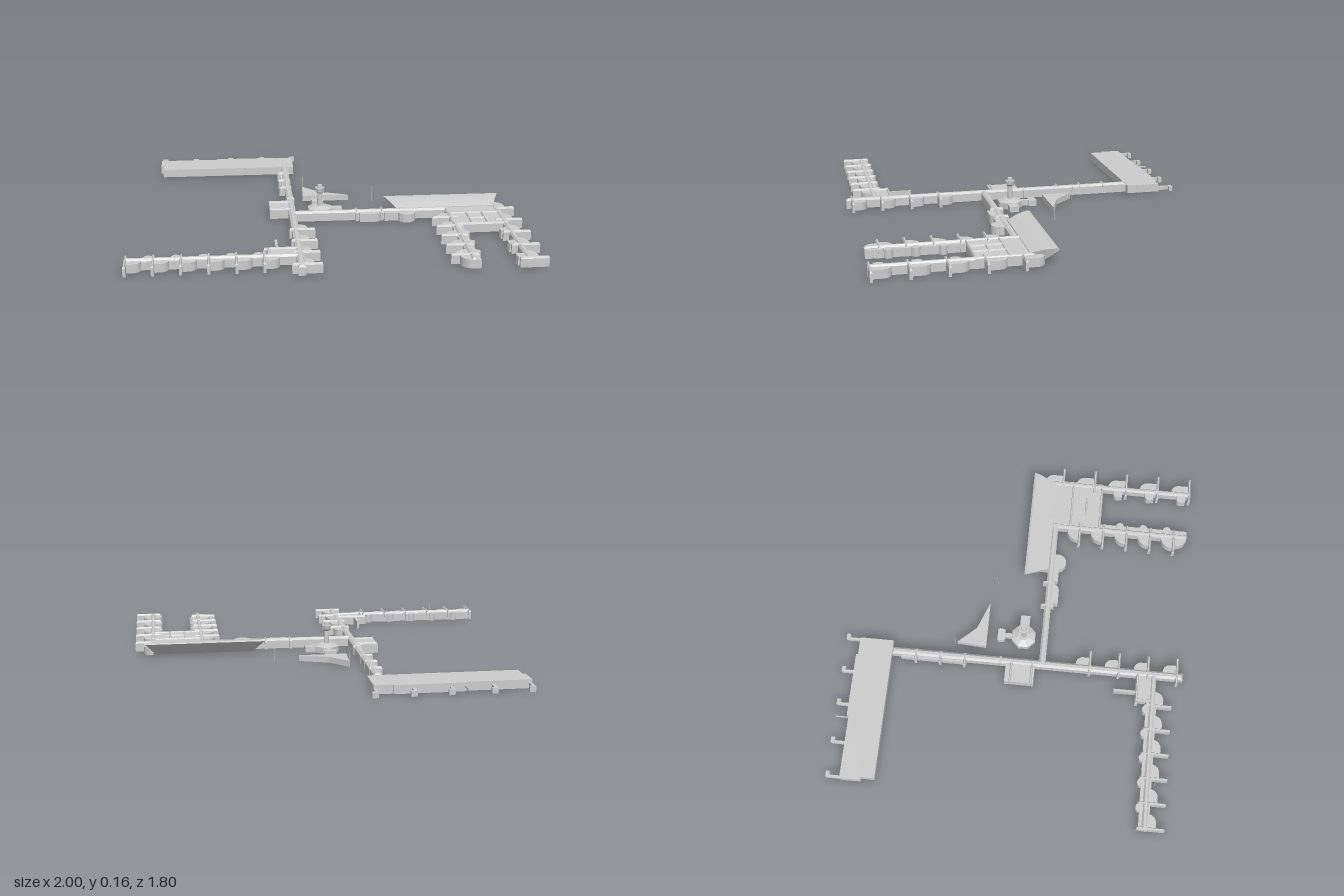
import * as THREE from 'three';

const mat = new THREE.MeshStandardMaterial({ color: 0xcccccc, flatShading: true, side: THREE.DoubleSide });

export function createModel() {
  const root = new THREE.Group();
  const group = (name) => {
    const g = new THREE.Group();
    g.name = name;
    root.add(g);
    return g;
  };
  const add = (parent, name, geo) => {
    const m = new THREE.Mesh(geo, mat);
    m.name = name;
    parent.add(m);
    return m;
  };
  // Plan outline of [x, z] points raised from y0 to y1
  const slab = (parent, name, pts, y1, y0 = 0) => {
    const shape = new THREE.Shape(pts.map(([x, z]) => new THREE.Vector2(x, -z)));
    const geo = new THREE.ExtrudeGeometry(shape, { depth: y1 - y0, bevelEnabled: false });
    geo.rotateX(-Math.PI / 2).translate(0, y0, 0);
    return add(parent, name, geo);
  };
  const box = (parent, name, x0, x1, z0, z1, y1, y0 = 0) => add(parent, name,
    new THREE.BoxGeometry(x1 - x0, y1 - y0, z1 - z0).translate((x0 + x1) / 2, (y0 + y1) / 2, (z0 + z1) / 2));
  // Box with a narrow raised roof whose sides slope inward
  const ridged = (parent, name, x0, x1, z0, z1, h = 0.053) => {
    box(parent, name, x0, x1, z0, z1, h - 0.01);
    const inset = Math.min(x1 - x0, z1 - z0) * 0.3;
    const roof = new THREE.BoxGeometry(x1 - x0, 0.01, z1 - z0);
    const p = roof.attributes.position;
    for (let i = 0; i < p.count; i++) {
      if (p.getY(i) < 0) continue;
      p.setX(i, p.getX(i) - Math.sign(p.getX(i)) * inset);
      p.setZ(i, p.getZ(i) - Math.sign(p.getZ(i)) * inset);
    }
    roof.translate((x0 + x1) / 2, h - 0.005, (z0 + z1) / 2);
    add(parent, name + 'Roof', roof);
  };
  // Room with one rounded outer corner, growing from (x, z) by (dx, dz)
  const lobe = (parent, x, z, dx, dz, h = 0.044) => {
    const r = Math.min(Math.abs(dx), Math.abs(dz)) * 0.85;
    const sx = Math.sign(dx), sz = Math.sign(dz);
    const pts = [[x, z], [x + dx, z]];
    for (let i = 0; i <= 6; i++) {
      const a = (i / 6) * Math.PI / 2;
      pts.push([x + dx - sx * r * (1 - Math.cos(a)), z + dz - sz * r * (1 - Math.sin(a))]);
    }
    pts.push([x, z + dz]);
    slab(parent, 'roundedRoom', pts, h);
  };
  const bump = (parent, x, z, r = 0.022) =>
    add(parent, 'roundBay', new THREE.CylinderGeometry(r, r, 0.044, 14).translate(x, 0.022, z));
  const gateX = (parent, x0, x1, z) => ridged(parent, 'gateWall', x0, x1, z - 0.007, z + 0.007);
  const gateZ = (parent, x, z0, z1) => ridged(parent, 'gateWall', x - 0.007, x + 0.007, z0, z1);

  // Long main corridor
  const spine = group('mainCorridor');
  ridged(spine, 'corridor', -0.187, -0.15, -0.65, 0.9, 0.052);
  box(spine, 'sideLedge', -0.2, -0.18, -0.6, -0.25, 0.035);
  for (const z of [-0.52, -0.39, -0.26]) gateX(spine, -0.215, -0.148, z);
  gateX(spine, -0.187, -0.145, -0.07);
  for (const z of [0.405, 0.56, 0.715, 0.868]) {
    gateX(spine, z < 0.8 ? -0.2 : -0.215, -0.07, z);
    lobe(spine, -0.155, z, 0.045, -0.075);
  }

  // Side annex on the main corridor
  const annex = group('sideAnnex');
  box(annex, 'annexBody', -0.285, -0.16, -0.04, 0.115, 0.046);
  for (const z of [-0.01, 0.1]) gateX(annex, -0.285, -0.16, z);

  // Right-hand (-x) pier
  const west = group('westPier');
  ridged(west, 'corridor', -1, -0.17, 0.732, 0.762, 0.052);
  box(west, 'corridorShoulder', -0.99, -0.32, 0.715, 0.77, 0.04);
  for (let i = 0; i < 6; i++) {
    const x = -0.991 + i * 0.13;
    gateZ(west, x, 0.705, 0.85);
    lobe(west, x, 0.755, 0.075, 0.05);
    bump(west, x + 0.105, 0.717);
  }
  box(west, 'cornerRoom', -0.32, -0.18, 0.66, 0.755, 0.045);
  ridged(west, 'cornerWall', -0.34, -0.17, 0.655, 0.67);
  gateZ(west, -0.318, 0.655, 0.75);
  box(west, 'cornerBar', -0.281, -0.269, 0.54, 0.66, 0.045);

  // Connecting corridor
  const link = group('connectingCorridor');
  ridged(link, 'corridor', -0.17, 0.66, 0.135, 0.17, 0.052);
  for (const x of [0.167, 0.3]) gateZ(link, x, 0.115, 0.185);
  lobe(link, 0.18, 0.16, 0.115, 0.045);
  lobe(link, 0.31, 0.16, 0.1, 0.035);
  bump(link, 0.425, 0.185, 0.046);

  // Terminal hall with roof grid
  const hall = group('terminalHall');
  box(hall, 'hallBody', 0.64, 0.92, 0.12, 0.4, 0.046);
  for (const z of [0.235, 0.395]) gateX(hall, 0.645, 0.915, z);
  gateX(hall, 0.72, 0.83, 0.315);
  for (const x of [0.733, 0.813]) gateZ(hall, x, 0.225, 0.4);

  // Terminal frontage: slanted back face under a curved roof, narrowing forward
  const sections = [[0.09, 0, 0.375, 0.895], [0.01, 0.072, 0.32, 0.945], [0.02, 0.077, 0.324, 0.941],
    [0.05, 0.074, 0.337, 0.93], [0.09, 0.066, 0.354, 0.915], [0.138, 0.05, 0.377, 0.895], [0.138, 0, 0.377, 0.895]];
  const pos = [], index = [], n = sections.length;
  sections.forEach(([z, y, x0, x1]) => pos.push(x0, y, z, x1, y, z));
  for (let i = 0; i < n; i++) {
    const a = 2 * i, b = 2 * ((i + 1) % n);
    index.push(a, b, a + 1, b, b + 1, a + 1);
    if (i > 0 && i < n - 1) index.push(0, b, a, 1, a + 1, b + 1);
  }
  const roof = new THREE.BufferGeometry();
  roof.setAttribute('position', new THREE.Float32BufferAttribute(pos, 3));
  roof.setIndex(index);
  roof.computeVertexNormals();
  add(hall, 'sweptRoof', roof);

  // Twin piers in front of the hall
  const inner = group('innerPier');
  ridged(inner, 'corridor', 0.63, 0.655, 0.13, 0.88, 0.052);
  box(inner, 'corridorShoulder', 0.625, 0.677, 0.4, 0.88, 0.042);
  for (let i = 0; i < 5; i++) {
    const z = 0.29 + i * 0.13;
    gateX(inner, 0.543, 0.68, z);
    lobe(inner, 0.64, z, -0.07, -0.07);
    if (i > 1) bump(inner, 0.673, z - 0.04);
  }
  lobe(inner, 0.66, 0.815, -0.075, 0.065);

  const outer = group('outerPier');
  ridged(outer, 'corridor', 0.89, 0.918, 0.12, 0.89, 0.052);
  for (let i = 0; i < 5; i++) {
    const z = 0.175 + i * 0.1765;
    gateX(outer, i ? 0.86 : 0.89, 1, z);
    lobe(outer, 0.905, z, 0.05, -0.1);
    if (i > 1) lobe(outer, 0.9, z - 0.02, -0.045, -0.05);
    if (i > 1) bump(outer, 0.873, z + 0.03 - 0.0765, 0.022);
  }

  // Large rear hall with jet bridges
  const rear = group('rearHall');
  slab(rear, 'rearBody', [[-0.885, -0.83], [-0.55, -0.83], [-0.55, -0.84], [-0.21, -0.84], [-0.21, -0.83],
    [-0.115, -0.83], [-0.115, -0.65], [-0.87, -0.65], [-0.87, -0.72], [-0.885, -0.72]], 0.044);
  for (const x of [-0.875, -0.692, -0.485, -0.303, -0.12]) {
    box(rear, 'bridgeArm', x - 0.008, x + 0.006, -0.9, -0.825, 0.028, 0.008);
    box(rear, 'bridgeHead', x - 0.006, x + 0.024, -0.905, -0.885, 0.03, 0.003);
  }
  box(rear, 'bridgeRail', -0.559, -0.554, -0.9, -0.83, 0.028, 0.02);

  // Control tower on an eight-sided base
  const tower = group('controlTower');
  const drum = (name, r0, r1, y0, y1, sides = 8) => add(tower, name,
    new THREE.CylinderGeometry(r1, r0, y1 - y0, sides).rotateY(Math.PI / 8).translate(-0.017, (y0 + y1) / 2, 0.04));
  drum('base', 0.067, 0.067, 0, 0.032);
  drum('baseRoof', 0.067, 0.03, 0.032, 0.045);
  box(tower, 'sideRoom', 0.03, 0.1, 0.015, 0.065, 0.03);
  box(tower, 'passage', -0.03, -0.008, -0.08, 0, 0.03);
  slab(tower, 'endRoom', [[-0.05, -0.1], [0.01, -0.1], [0.015, -0.09], [0.01, -0.06], [-0.05, -0.06], [-0.055, -0.09]], 0.032);
  drum('shaft', 0.014, 0.012, 0.04, 0.12, 12);
  drum('cabFloor', 0.014, 0.024, 0.112, 0.122);
  drum('cab', 0.022, 0.026, 0.122, 0.142);
  drum('cabRoof', 0.014, 0.012, 0.142, 0.158);

  // Pointed building behind the tower
  slab(group('pointedBuilding'), 'pointedBody',
    [[-0.085, -0.312], [0.005, -0.215], [0.155, -0.157], [-0.095, -0.155]], 0.031);

  // Thin masts
  const masts = group('masts');
  for (const [x, z] of [[-0.76, 0.785], [0.28, -0.13], [-0.085, -0.322]])
    add(masts, 'mast', new THREE.CylinderGeometry(0.0015, 0.0015, 0.085, 6).translate(x, 0.0425, z));

  return root;
}
